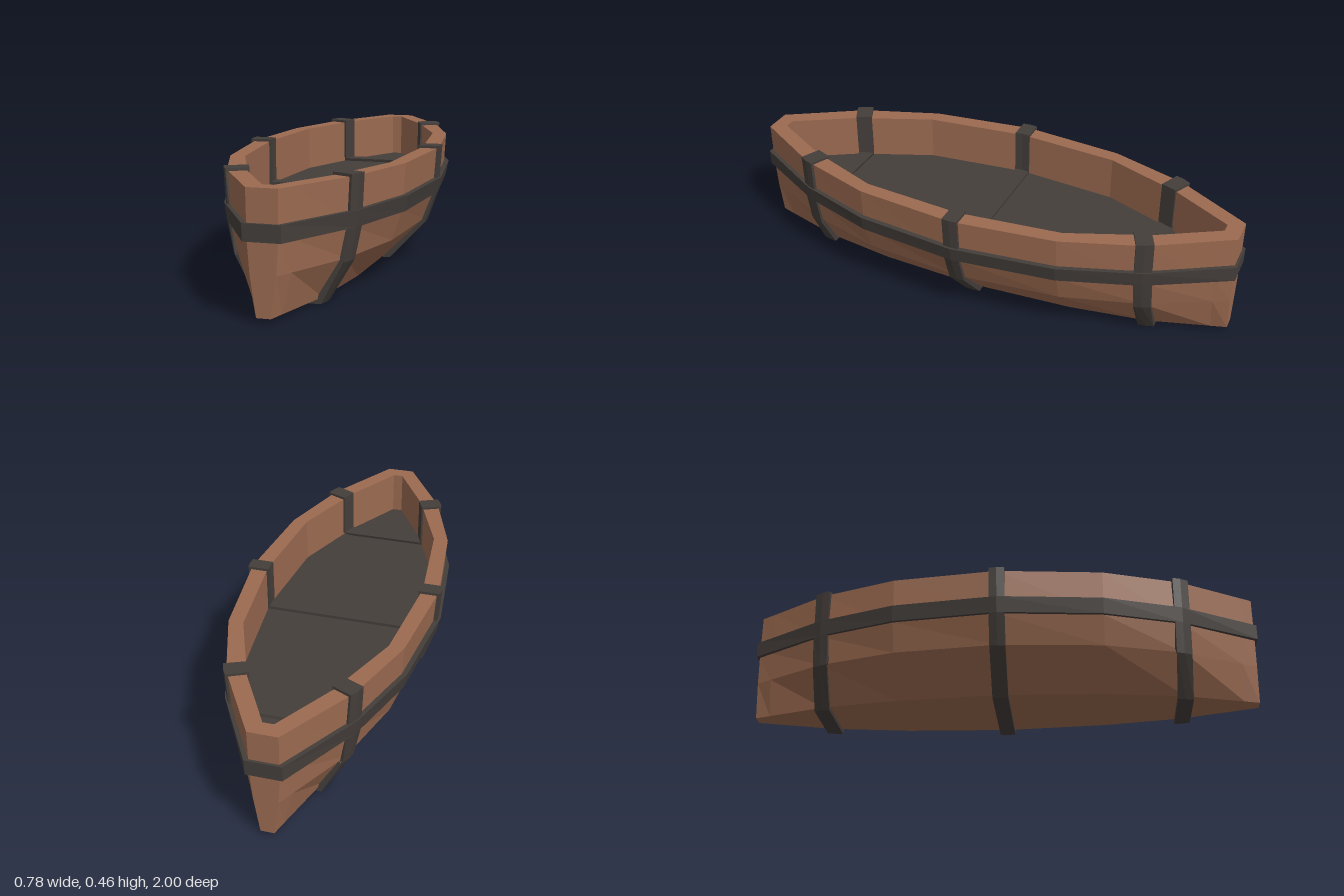
import * as THREE from 'three';

const wood = new THREE.MeshStandardMaterial({ color: 0x9b6a50, flatShading: true });
const iron = new THREE.MeshStandardMaterial({ color: 0x443e3a, flatShading: true });

// Half-widths of the outer planking by distance from midships, one per height in LEVELS
const LEVELS = [0.017, 0.16, 0.27, 0.445];
const OUTER = [
  [0, [0.18, 0.322, 0.364, 0.377]],
  [0.4, [0.157, 0.285, 0.321, 0.333]],
  [0.7, [0.112, 0.198, 0.221, 0.23]],
  [0.99, [0.025, 0.045, 0.053, 0.055]],
];
// Half-widths of the inside wall
const INNER = [[0, [0.313]], [0.4, [0.275]], [0.7, [0.155]], [0.93, [0.02]]];
const FLOOR = 0.27;

function widths(table, z) {
  const d = Math.abs(z);
  let i = 0;
  while (i < table.length - 2 && d > table[i + 1][0]) i++;
  const [z0, a] = table[i], [z1, b] = table[i + 1];
  const t = (d - z0) / (z1 - z0);
  return a.map((v, k) => v + (b[k] - v) * t);
}
const innerAt = (z) => widths(INNER, z)[0];

// Skin between matching sections (counter-clockwise seen from the direction of travel)
function loft(sections, closed = false) {
  const pos = [];
  const tri = (...pts) => pts.forEach((p) => pos.push(...p));
  const n = sections[0].length;
  const count = closed ? sections.length : sections.length - 1;
  for (let s = 0; s < count; s++) {
    const a = sections[s], b = sections[(s + 1) % sections.length];
    for (let i = 0; i < n; i++) {
      const j = (i + 1) % n;
      tri(a[i], a[j], b[j]);
      tri(a[i], b[j], b[i]);
    }
  }
  if (!closed) {
    const first = sections[0], last = sections[sections.length - 1];
    for (const [sec, flip] of [[first, true], [last, false]]) {
      const faces = THREE.ShapeUtils.triangulateShape(sec.map((p) => new THREE.Vector2(p[0], p[1])), []);
      for (const [a, b, c] of faces) flip ? tri(sec[c], sec[b], sec[a]) : tri(sec[a], sec[b], sec[c]);
    }
  }
  const g = new THREE.BufferGeometry();
  g.setAttribute('position', new THREE.Float32BufferAttribute(pos, 3));
  g.computeVertexNormals();
  return g;
}

// Complete a right-hand half profile with its mirror image
const mirrored = (half) => [...half, ...half.slice().reverse().map(([x, y, z]) => [-x, y, z])];

function hullSection(z) {
  const outer = widths(OUTER, z).map((w, i) => [w, LEVELS[i], z]);
  const x = innerAt(z);
  return mirrored([...outer, [x, 0.445, z], [x, 0.25, z]]);
}

const endSection = (z) => mirrored(widths(OUTER, z).map((w, i) => [w, LEVELS[i], z]));

// Strap wrapped around the hull, over the rail and across the floor
function strapSection(z, lean) {
  const heights = [0, 0.152, 0.27, 0.455];
  const outer = widths(OUTER, z).map((w, i) => [w + 0.012, heights[i], z]);
  const zi = z - lean;
  const x = innerAt(zi) - 0.008;
  return mirrored([...outer, [x, 0.455, zi], [x, FLOOR + 0.012, zi]]);
}

export function createModel() {
  const group = new THREE.Group();
  const add = (name, geometry, material) => {
    const mesh = new THREE.Mesh(geometry, material);
    mesh.name = name;
    group.add(mesh);
  };

  // Planked hull with solid stem blocks at both ends
  const stations = [-0.93, -0.7, -0.4, 0, 0.4, 0.7, 0.93];
  add('hull', loft(stations.map(hullSection)), wood);
  add('bowBlock', loft([0.93, 0.99].map(endSection)), wood);
  add('sternBlock', loft([-0.99, -0.93].map(endSection)), wood);

  // Floor
  add('floor', loft(stations.map((z) => {
    const x = innerAt(z) + 0.004;
    return [[-x, 0.24, z], [x, 0.24, z], [x, FLOOR, z], [-x, FLOOR, z]];
  })), iron);

  // Straps at midships and towards each end
  for (const [name, z, lean] of [['middleStrap', 0, 0], ['frontStrap', 0.7, 0.035], ['backStrap', -0.7, -0.035]]) {
    add(name, loft([z - 0.03, z, z + 0.03].map((s) => strapSection(s, lean))), iron);
  }

  // Belt running all the way round the hull
  const beltZ = [-0.99, -0.7, -0.4, 0, 0.4, 0.7, 0.99];
  const beltSection = (side, z) => {
    const [, , low, top] = widths(OUTER, z);
    const end = Math.abs(z) > 0.9 ? Math.sign(z) : 0;
    const zo = z + end * 0.01, zi = z - end * 0.03;
    const xo = low + 0.012, xt = Math.max(top, low) + 0.012, xi = low - 0.02;
    return [[side * xi, 0.27, zi], [side * xo, 0.27, zo], [side * xt, 0.33, zo], [side * xi, 0.33, zi]];
  };
  const belt = [
    ...beltZ.map((z) => beltSection(1, z)),
    ...beltZ.slice().reverse().map((z) => beltSection(-1, z)),
  ];
  add('belt', loft(belt, true), iron);

  return group;
}
